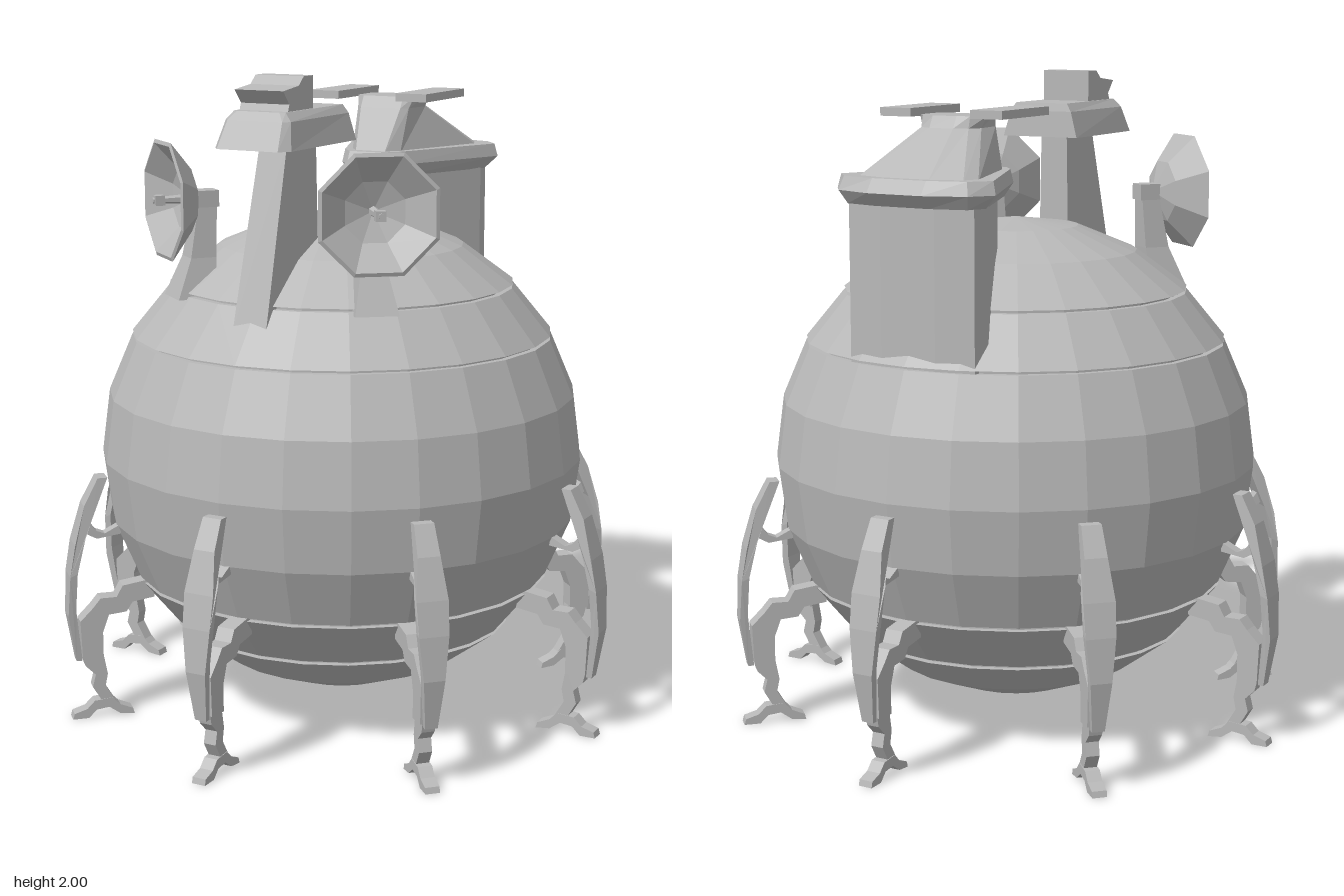
import * as THREE from 'three';

const hull = new THREE.MeshStandardMaterial({ color: 0xb8b8b8, flatShading: true, side: THREE.DoubleSide });
hull.name = 'hull grey';

function part(name, geometry, parent) {
  const mesh = new THREE.Mesh(geometry, hull);
  mesh.name = name;
  parent.add(mesh);
  return mesh;
}

// Mirrors a half outline of [x, z] points, front to back, into a full ring at height y
function ring(y, half) {
  const left = half.map(([x, z]) => [-x, z]).reverse();
  return [...half, ...left].map(([x, z]) => [x, y, z]);
}

// Closed solid through rings stacked from bottom to top
function loft(rings) {
  const pos = [];
  const n = rings[0].length;
  const tri = (...corners) => corners.forEach((c) => pos.push(...c));
  for (let r = 0; r < rings.length - 1; r++) {
    const lo = rings[r], hi = rings[r + 1];
    for (let i = 0; i < n; i++) {
      const j = (i + 1) % n;
      tri(lo[i], lo[j], hi[j]);
      tri(lo[i], hi[j], hi[i]);
    }
  }
  const bottom = rings[0], top = rings[rings.length - 1];
  for (let i = 1; i < n - 1; i++) {
    tri(bottom[0], bottom[i + 1], bottom[i]);
    tri(top[0], top[i], top[i + 1]);
  }
  const g = new THREE.BufferGeometry();
  g.setAttribute('position', new THREE.Float32BufferAttribute(pos, 3));
  g.computeVertexNormals();
  return g;
}

// Side outline extruded across z, with a half width that may vary with height
function slab(points, halfWidth) {
  const shape = new THREE.Shape(points.map(([x, y]) => new THREE.Vector2(x, y)));
  const g = new THREE.ExtrudeGeometry(shape, { depth: 2, bevelEnabled: false });
  g.translate(0, 0, -1);
  const p = g.attributes.position;
  for (let i = 0; i < p.count; i++) p.setZ(i, p.getZ(i) * halfWidth(p.getY(i)));
  g.computeVertexNormals();
  return g;
}

// Faceted ball with narrow seams cut at some latitudes
function ball() {
  const R = 0.755, cy = 0.81, profile = [];
  const seams = [3, 4, 8, 9];
  for (let k = 0; k <= 12; k++) {
    const a = (k / 12) * Math.PI;
    const r = k % 12 ? R * Math.sin(a) : 0, y = cy - R * Math.cos(a);
    if (seams.includes(k)) {
      const h = 0.005;
      profile.push([r, y - h], [r - 0.02, y - h], [r - 0.02, y + h], [r, y + h]);
    } else profile.push([r, y]);
  }
  return new THREE.LatheGeometry(profile.map(([r, y]) => new THREE.Vector2(r, y)), 24);
}

function periscope() {
  const g = new THREE.Group();
  g.name = 'periscope';
  part('periscopeMast', loft([
    ring(1.28, [[0.055, 0.57], [0.055, 0.25]]),
    ring(1.82, [[0.045, 0.42], [0.045, 0.25]]),
  ]), g);
  part('periscopeHead', loft([
    ring(1.8, [[0.1, 0.575], [0.125, 0.54], [0.13, 0.155]]),
    ring(1.88, [[0.09, 0.53], [0.107, 0.51], [0.107, 0.16]]),
    ring(1.905, [[0.07, 0.51], [0.085, 0.5], [0.09, 0.165]]),
  ]), g);
  const top = slab([[0.33, 1.9], [0.48, 1.9], [0.47, 1.925], [0.505, 1.965],
    [0.415, 1.975], [0.385, 2], [0.33, 2]], () => 0.08);
  top.rotateY(-Math.PI / 2);
  part('periscopeSight', top, g);
  return g;
}

function rearTower() {
  const g = new THREE.Group();
  g.name = 'rearTower';
  const wall = [[0.05, -0.22], [0.09, -0.27], [0.22, -0.55], [0.21, -0.61], [0.09, -0.63]];
  part('towerWall', loft([ring(1.1, wall), ring(1.67, wall)]), g);
  part('towerRim', loft([
    ring(1.65, [[0.05, -0.185], [0.09, -0.23], [0.225, -0.57], [0.2, -0.63], [0.09, -0.655]]),
    ring(1.69, [[0.055, -0.135], [0.105, -0.2], [0.265, -0.585], [0.215, -0.655], [0.09, -0.7]]),
    ring(1.73, [[0.055, -0.155], [0.1, -0.21], [0.255, -0.58], [0.205, -0.64], [0.09, -0.67]]),
  ]), g);
  part('towerRoof', loft([
    ring(1.72, [[0.05, -0.185], [0.085, -0.23], [0.2, -0.57], [0.18, -0.62], [0.08, -0.65]]),
    ring(1.86, [[0.07, -0.26], [0.09, -0.28], [0.1, -0.38], [0.08, -0.42], [0.04, -0.44]]),
    ring(1.895, [[0.07, -0.28], [0.1, -0.3], [0.115, -0.37], [0.08, -0.41], [0.04, -0.42]]),
  ]), g);
  for (const s of [1, -1]) {
    part('towerPanel', new THREE.BoxGeometry(0.105, 0.025, 0.28), g).position.set(s * 0.153, 1.903, -0.305);
  }
  return g;
}

// Octagonal dish on a tapered post, built facing +z
function dish() {
  const g = new THREE.Group();
  g.name = 'dish';
  const aim = new THREE.Group();
  aim.name = 'dishHead';
  aim.position.set(0, 1.625, 0.58);
  g.add(aim);
  const profile = [[0, -0.11], [0.1, -0.075], [0.19, 0], [0.178, 0.004], [0.095, -0.06], [0, -0.09]];
  const bowl = new THREE.LatheGeometry(profile.map(([r, y]) => new THREE.Vector2(r, y)), 8, Math.PI / 8);
  part('dishBowl', bowl.rotateX(Math.PI / 2), aim);
  part('dishFeed', new THREE.CylinderGeometry(0.009, 0.016, 0.13, 6).rotateX(Math.PI / 2), aim).position.z = -0.03;
  part('dishFeedTip', new THREE.BoxGeometry(0.03, 0.03, 0.03), aim).position.z = 0.015;
  part('dishMount', new THREE.BoxGeometry(0.06, 0.05, 0.07), aim).position.z = -0.13;
  part('dishPost', loft([
    ring(1.33, [[0.065, 0.56], [0.065, 0.44]]),
    ring(1.45, [[0.04, 0.51], [0.04, 0.43]]),
    ring(1.64, [[0.025, 0.475], [0.025, 0.42]]),
  ]), g);
  return g;
}

// Leg pointing along +x
function leg() {
  const g = new THREE.Group();
  g.name = 'leg';
  const bladeWidth = (y) => {
    const t = [[0.18, 0.018], [0.36, 0.034], [0.5, 0.048], [0.57, 0.048], [0.65, 0.036], [0.78, 0.03]];
    for (let i = 1; i < t.length; i++) {
      if (y <= t[i][0]) {
        return THREE.MathUtils.mapLinear(y, t[i - 1][0], t[i][0], t[i - 1][1], t[i][1]);
      }
    }
    return 0.03;
  };
  part('legGuard', slab([[0.76, 0.775], [0.79, 0.775], [0.835, 0.69], [0.868, 0.57], [0.885, 0.47],
    [0.892, 0.34], [0.868, 0.19], [0.85, 0.19], [0.868, 0.36], [0.862, 0.48], [0.835, 0.59],
    [0.815, 0.64]].map(([x, y]) => [x, y]), bladeWidth), g);
  part('guardStrut', slab([[0.72, 0.62], [0.77, 0.595], [0.795, 0.605], [0.84, 0.66], [0.85, 0.61],
    [0.795, 0.58], [0.72, 0.59]], () => 0.018), g);
  part('upperLeg', slab([[0.62, 0.44], [0.72, 0.425], [0.74, 0.39], [0.79, 0.39], [0.815, 0.36],
    [0.855, 0.32], [0.85, 0.2], [0.785, 0.195], [0.785, 0.28], [0.765, 0.335], [0.71, 0.34],
    [0.69, 0.37], [0.62, 0.38]], () => 0.028), g);
  part('shin', slab([[0.85, 0.21], [0.84, 0.17], [0.81, 0.14], [0.82, 0.1], [0.785, 0.04],
    [0.75, 0.05], [0.78, 0.1], [0.772, 0.14], [0.785, 0.21]], () => 0.02), g);
  part('foot', slab([[0.885, 0], [0.88, 0.018], [0.84, 0.03], [0.815, 0.055], [0.76, 0.06],
    [0.735, 0.035], [0.695, 0.018], [0.69, 0], [0.735, 0.005], [0.77, 0.03], [0.81, 0.025],
    [0.835, 0]], () => 0.022), g);
  return g;
}

export function createModel() {
  const model = new THREE.Group();
  model.name = 'walkingSphere';
  part('body', ball(), model);
  model.add(periscope(), rearTower());
  for (const s of [1, -1]) {
    const d = dish();
    d.rotation.y = s * 0.67;
    model.add(d);
  }
  for (let i = 0; i < 8; i++) {
    const l = leg();
    l.rotation.y = (i * Math.PI) / 4;
    model.add(l);
  }
  return model;
}
